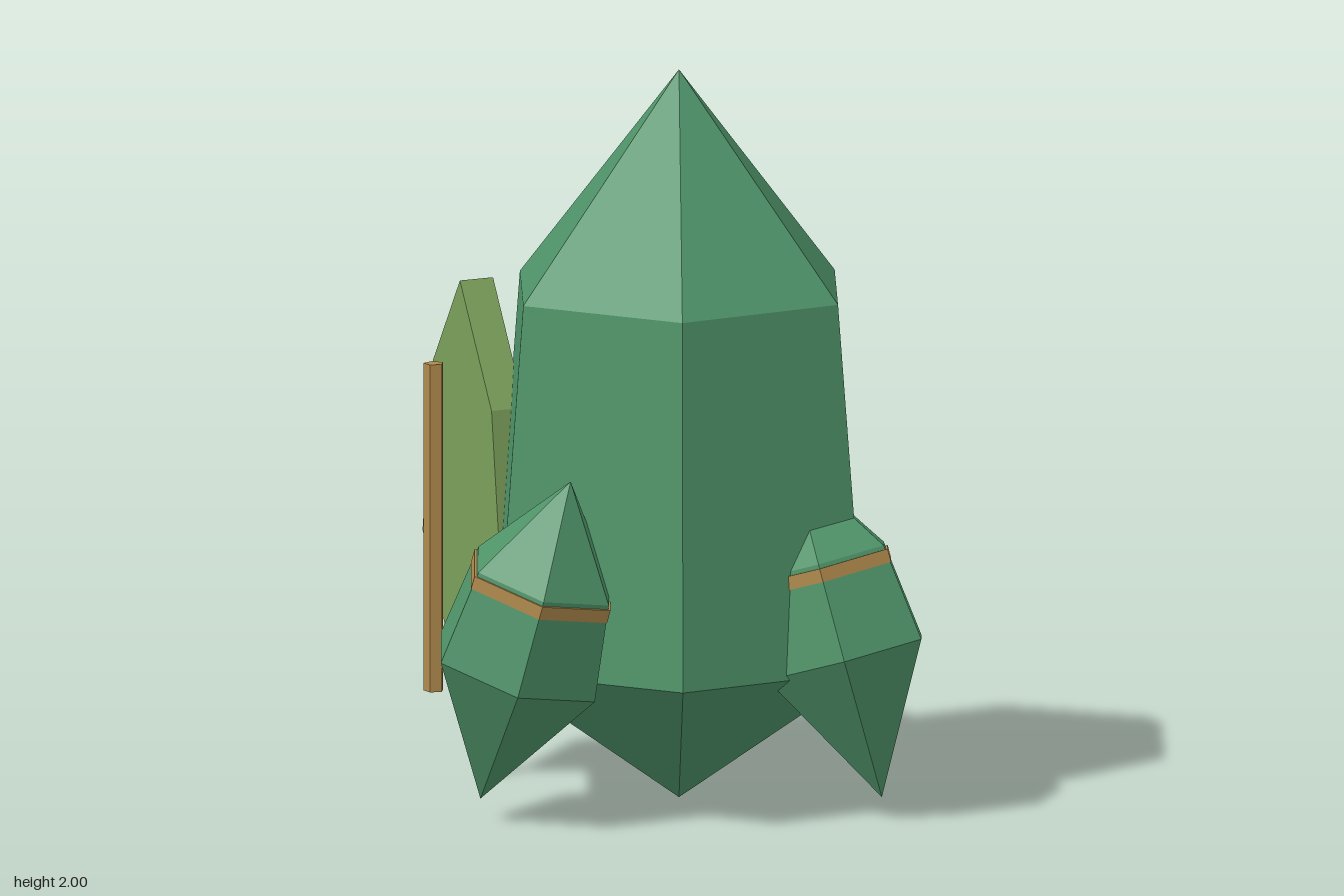
import * as THREE from 'three';

export function createModel() {
  const group = new THREE.Group();
  const flat = (name, color) => {
    const m = new THREE.MeshStandardMaterial({ color, flatShading: true });
    m.name = name;
    return m;
  };
  const green = flat('crystal green', 0x4f9469);
  const lime = flat('leaf green', 0x7ba05b);
  const brown = flat('wood brown', 0xb08a4c);

  const add = (parent, name, geometry, material) => {
    const mesh = new THREE.Mesh(geometry, material);
    mesh.name = name;
    parent.add(mesh);
    return mesh;
  };

  // Six-sided crystal from [radius, height] pairs, with corners on the x axis
  const crystal = (profile) =>
    new THREE.LatheGeometry(profile.map(([r, y]) => new THREE.Vector2(r, y)), 6)
      .rotateY(Math.PI / 6);

  // Large central crystal
  const main = add(group, 'mainCrystal',
    crystal([[0, 0], [0.575, 0.4], [0.49, 1.4], [0, 2]]), green);
  main.position.x = 0.03;

  // Three banded crystals around it, each leaning about its lower tip
  const leans = [0.3, -0.3, 0];
  leans.forEach((lean, i) => {
    const a = (i * Math.PI * 2) / 3;
    const shard = new THREE.Group();
    shard.name = 'smallCrystal' + (i + 1);
    add(shard, 'shard', crystal([[0, 0], [0.248, 0.39], [0.21, 0.66], [0, 0.94]]), green);
    const band = new THREE.CylinderGeometry(0.219, 0.219, 0.037, 6).rotateY(Math.PI / 6);
    add(shard, 'band', band, brown).position.y = 0.63;
    shard.position.set(0.03 + 0.625 * Math.cos(a), 0.06, 0.625 * Math.sin(a));
    shard.rotation.z = lean;
    group.add(shard);
  });

  // Thick leaf-shaped slab leaning into the main crystal's side
  const outline = [[0, 0.255], [0.24, 0.65], [0.19, 1.05], [0, 1.375], [-0.16, 1.13], [-0.224, 0.65]];
  const leafShape = new THREE.Shape(outline.map(([x, y]) => new THREE.Vector2(x, y)));
  const leaf = add(group, 'leafSlab',
    new THREE.ExtrudeGeometry(leafShape, { depth: 0.1, bevelEnabled: false }), lime);
  leaf.position.set(-0.54, 0, 0.005);
  leaf.rotation.y = -0.6;

  // Thin five-sided pole in front of the slab
  const pole = add(group, 'pole', new THREE.CylinderGeometry(0.028, 0.028, 0.9, 5), brown);
  pole.position.set(-0.64, 0.705, 0.153);
  pole.rotation.y = 0.1;

  return group;
}
